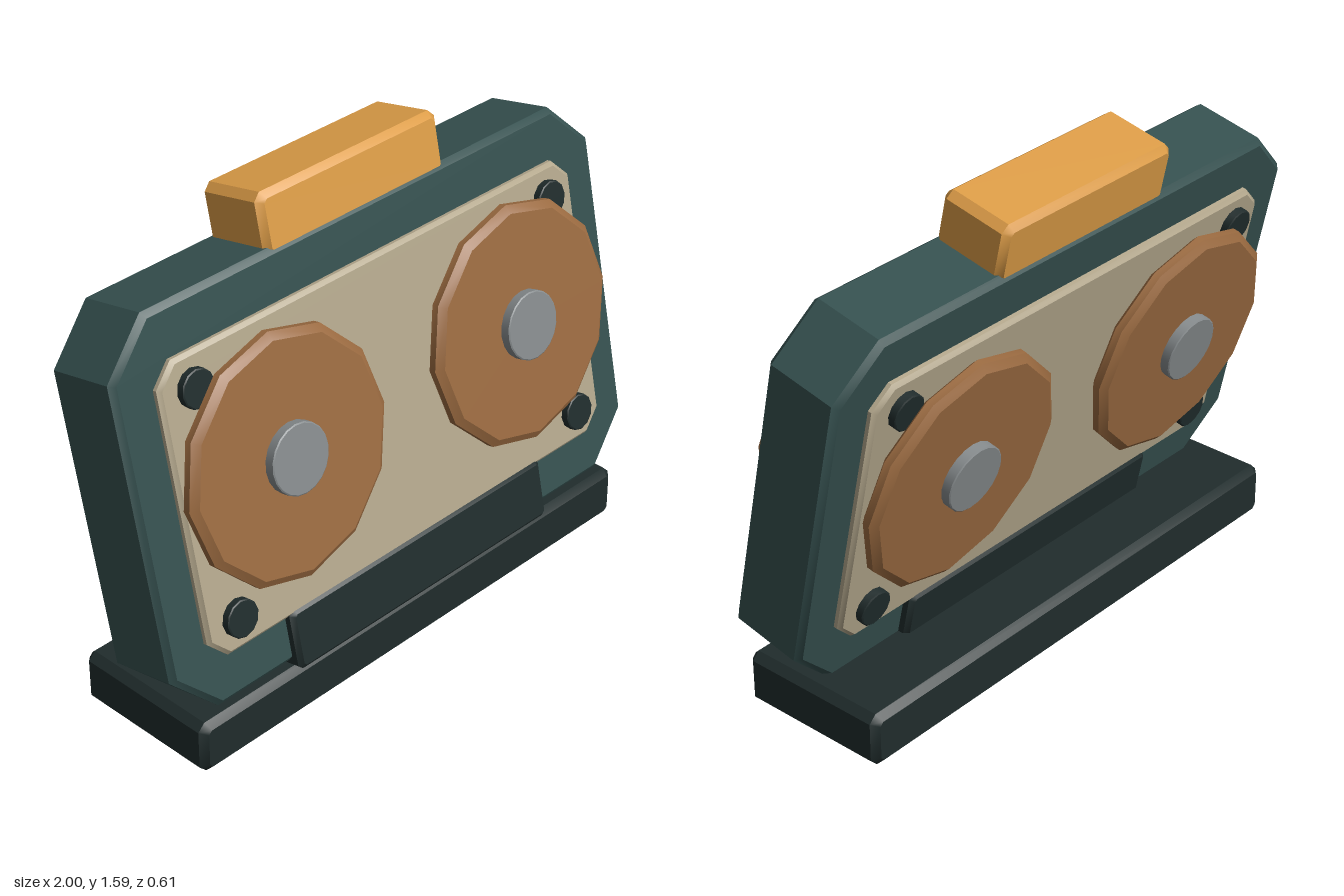
import * as THREE from 'three';
import { toCreasedNormals } from 'three/addons/utils/BufferGeometryUtils.js';

const TILT = -0.2094;

function material(name, color) {
  const m = new THREE.MeshStandardMaterial({ color });
  m.name = name;
  return m;
}

// Box with cut corners in its outline and a bevel on the front and back rims
function chamferBox(w, h, d, corner, bevel) {
  const x = w / 2 - bevel, y = h / 2 - bevel, c = corner;
  const shape = new THREE.Shape([
    [-x + c, -y], [x - c, -y], [x, -y + c], [x, y - c],
    [x - c, y], [-x + c, y], [-x, y - c], [-x, -y + c],
  ].map(([a, b]) => new THREE.Vector2(a, b)));
  const geo = new THREE.ExtrudeGeometry(shape, {
    depth: d - 2 * bevel, bevelEnabled: true, bevelSegments: 1,
    bevelSize: bevel, bevelThickness: bevel,
  });
  geo.translate(0, 0, -d / 2 + bevel);
  return toCreasedNormals(geo, 0.6);
}

// Disc facing +z with bevelled rims
function disc(radius, thickness, bevel, sides) {
  const t = thickness / 2;
  const profile = [
    [0, -t], [radius - bevel, -t], [radius, -t + bevel * 0.7],
    [radius, t - bevel * 0.7], [radius - bevel, t], [0, t],
  ].map(([r, y]) => new THREE.Vector2(r, y));
  const geo = new THREE.LatheGeometry(profile, sides);
  geo.rotateX(Math.PI / 2);
  return toCreasedNormals(geo, 0.55);
}

export function createModel() {
  const teal = material('teal casing', 0x35504f);
  const dark = material('dark trim', 0x202c2c);
  const tan = material('tan panel', 0xb3a78c);
  const brown = material('brown reel', 0x9a6a40);
  const grey = material('grey hub', 0x858a8c);
  const orange = material('orange handle', 0xdc9c47);

  const add = (parent, name, geo, mat, x = 0, y = 0, z = 0) => {
    const mesh = new THREE.Mesh(geo, mat);
    mesh.name = name;
    mesh.position.set(x, y, z);
    parent.add(mesh);
    return mesh;
  };

  const model = new THREE.Group();
  model.name = 'reelPlayer';

  // Flat stand
  add(model, 'base', chamferBox(1.85, 0.18, 0.522, 0.012, 0.022), dark, 0, 0.09, 0.015);

  // Leaning casing with its handle and lower bracket
  const player = new THREE.Group();
  player.name = 'leaningPlayer';
  player.position.set(0, 0.8, 0.013);
  player.rotation.x = TILT;
  model.add(player);
  add(player, 'casing', chamferBox(2, 1.25, 0.264, 0.145, 0.018), teal);
  add(player, 'handle', chamferBox(0.74, 0.2, 0.248, 0.012, 0.02), orange, 0, 0.688, 0);
  add(player, 'bracket', chamferBox(1.11, 0.2, 0.332, 0.008, 0.014), dark, 0, -0.55, 0);

  const plateGeo = chamferBox(1.73, 0.938, 0.06, 0.06, 0.012);
  const reelGeo = disc(0.39, 0.058, 0.025, 12);
  const hubGeo = disc(0.11, 0.12, 0.004, 20);
  const boltGeo = disc(0.06, 0.05, 0.004, 12);

  // Same face on front and back
  for (const [name, turn] of [['frontFace', 0], ['backFace', Math.PI]]) {
    const face = new THREE.Group();
    face.name = name;
    face.rotation.y = turn;
    player.add(face);
    add(face, 'plate', plateGeo, tan, 0, 0, 0.127);
    for (const side of [-1, 1]) {
      add(face, 'reel', reelGeo, brown, side * 0.5, 0.055, 0.207);
      add(face, 'hub', hubGeo, grey, side * 0.5, 0.057, 0.208);
      for (const level of [-1, 1]) {
        add(face, 'bolt', boltGeo, dark, side * 0.745, level * 0.366, 0.158);
      }
    }
  }
  return model;
}
